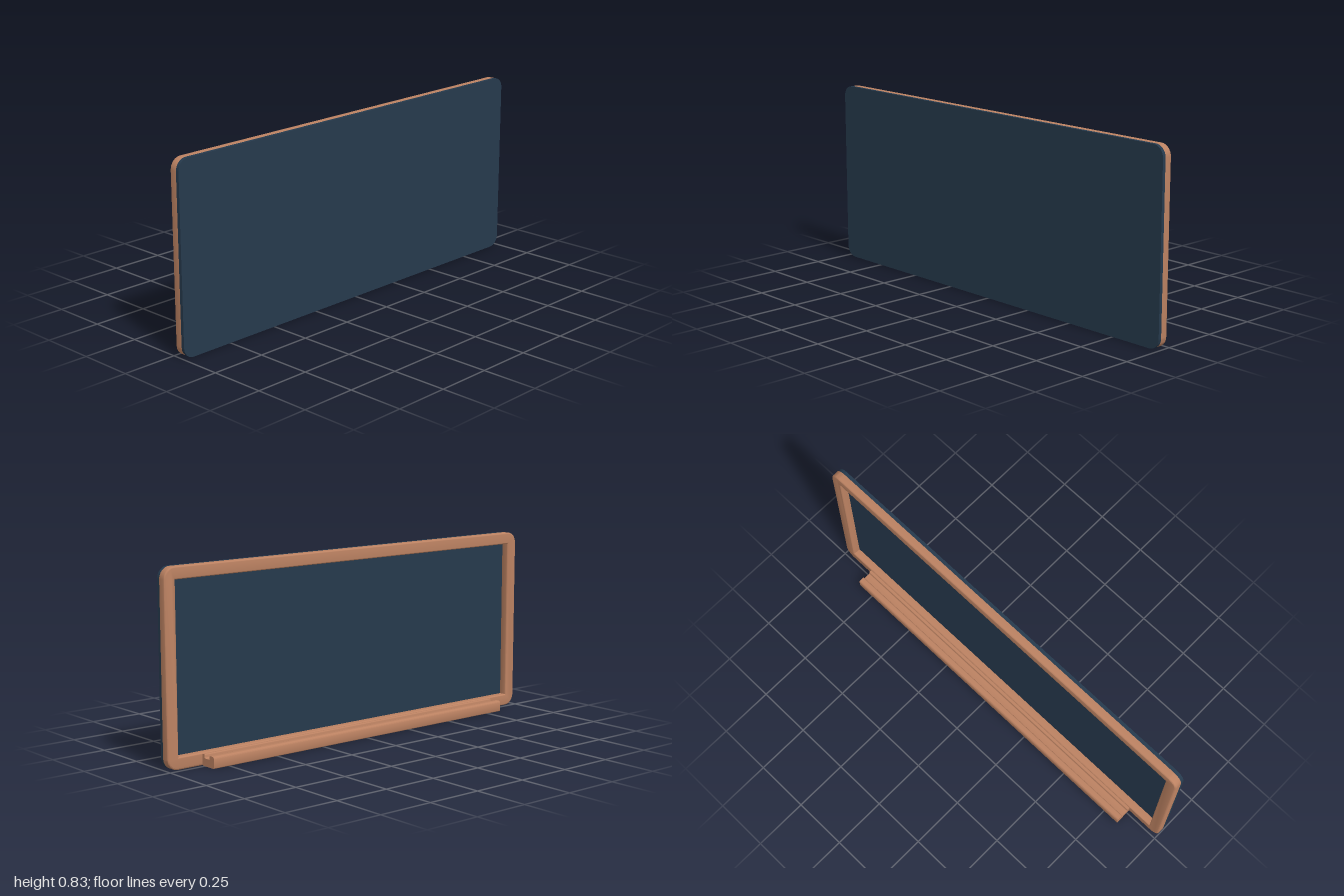
import * as THREE from 'three';
import { toCreasedNormals } from 'three/addons/utils/BufferGeometryUtils.js';

const HEIGHT = 0.834, BORDER = 0.053, RADIUS = 0.05, BEVEL = 0.006;

// Closed outline whose corners are rounded; points are [x, y, radius]
function roundedOutline(points) {
  const shape = new THREE.Shape();
  const n = points.length;
  points.forEach(([x, y, r], i) => {
    const p = new THREE.Vector2(x, y);
    const toward = ([qx, qy]) => new THREE.Vector2(qx, qy).sub(p).setLength(r).add(p);
    const a = toward(points[(i + n - 1) % n]);
    const b = toward(points[(i + 1) % n]);
    if (i === 0) shape.moveTo(a.x, a.y);
    else shape.lineTo(a.x, a.y);
    // Cubic approximation of a circular corner
    const k = 0.552;
    const c = a.clone().lerp(p, k), d = b.clone().lerp(p, k);
    shape.bezierCurveTo(c.x, c.y, d.x, d.y, b.x, b.y);
  });
  shape.closePath();
  return shape;
}

function boardOutline() {
  return roundedOutline([
    [-1, 0, RADIUS], [1, 0, RADIUS], [1, HEIGHT, RADIUS], [-1, HEIGHT, RADIUS],
  ]);
}

function part(name, geometry, material) {
  const mesh = new THREE.Mesh(toCreasedNormals(geometry, 0.6), material);
  mesh.name = name;
  return mesh;
}

export function createModel() {
  const group = new THREE.Group();
  group.name = 'wallBoard';
  const wood = new THREE.MeshStandardMaterial({ color: 0xbc8262 });
  wood.name = 'wood';
  const slate = new THREE.MeshStandardMaterial({ color: 0x263a4d });
  slate.name = 'slate';

  // Writing panel, facing the tray side
  const panel = new THREE.ExtrudeGeometry(boardOutline(), {
    depth: 0.015, bevelEnabled: false, curveSegments: 8,
  });
  panel.rotateY(-Math.PI / 2).translate(0.065, 0, 0);
  group.add(part('panel', panel, slate));

  // Frame with softened edges; its rear bevel is sunk into the panel
  const ring = boardOutline();
  const w = 1 - BORDER, top = HEIGHT - BORDER;
  ring.holes.push(new THREE.Path([
    new THREE.Vector2(-w, BORDER), new THREE.Vector2(-w, top),
    new THREE.Vector2(w, top), new THREE.Vector2(w, BORDER),
  ]));
  const frame = new THREE.ExtrudeGeometry(ring, {
    depth: 0.035 - BEVEL, bevelEnabled: true, bevelThickness: BEVEL,
    bevelSize: BEVEL, bevelOffset: -BEVEL, bevelSegments: 3, curveSegments: 8,
  });
  frame.rotateY(-Math.PI / 2).translate(0.05, 0, 0);
  group.add(part('frame', frame, wood));

  // Grooved chalk tray
  const profile = roundedOutline([
    [-0.065, 0, 0.004], [0.016, 0, 0.004], [0.016, 0.05, 0.004], [0, 0.05, 0.004],
    [0, 0.033, 0.004], [-0.035, 0.033, 0.004], [-0.035, 0.05, 0.006], [-0.065, 0.05, 0.009],
  ]);
  const tray = new THREE.ExtrudeGeometry(profile, {
    depth: 1.66, bevelEnabled: false, curveSegments: 6,
  });
  tray.translate(0, 0, -0.83);
  group.add(part('chalkTray', tray, wood));

  return group;
}
